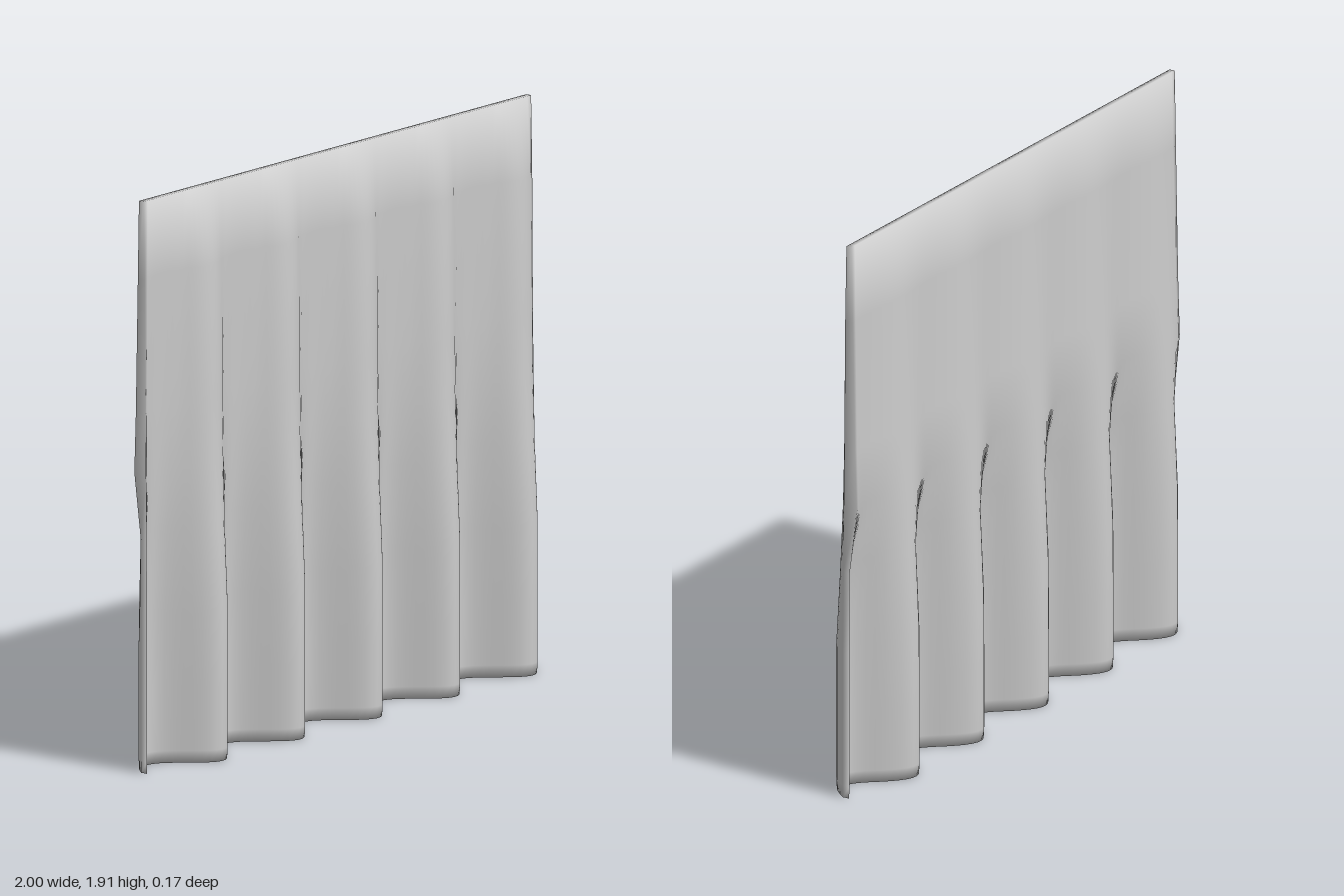
import * as THREE from 'three';

const COLUMNS = 100;
const PERIOD = 0.4;
const RIDGE_X = 0.105; // centre of one forward fold

// Cross-sections from hem to top: height, then z at ridge, middle and trough for front and back
const SECTIONS = [
  { y: 0.0, front: [0.085, 0.007, -0.066], back: [0.066, -0.017, -0.084] },
  { y: 0.04, front: [0.088, 0.008, -0.067], back: [0.067, -0.018, -0.087] },
  { y: 0.25, front: [0.088, 0.008, -0.067], back: [0.067, -0.018, -0.087] },
  { y: 0.5, front: [0.088, 0.008, -0.067], back: [0.067, -0.018, -0.085] },
  { y: 0.78, front: [0.069, 0.007, -0.05], back: [0.042, -0.017, -0.067] },
  { y: 1.0, front: [0.055, 0.006, -0.035], back: [-0.02, -0.041, -0.063] },
  { y: 1.2, front: [0.048, 0.004, -0.028], back: [-0.02, -0.034, -0.047] },
  { y: 1.65, front: [0.035, 0.002, -0.01], back: [-0.02, -0.025, -0.031] },
  { y: 1.91, front: [0, 0, 0], back: [-0.02, -0.02, -0.02] },
];

// Fold depth at x: a cosine running through ridge, middle and trough
function foldZ([ridge, middle, trough], x) {
  const c = Math.cos((2 * Math.PI * (x - RIDGE_X)) / PERIOD);
  return middle + c * (c > 0 ? ridge - middle : middle - trough);
}

function pleatedSheet() {
  const positions = [];
  const indices = [];
  const n = COLUMNS + 1;
  const ring = n * 2;
  const xAt = (i) => -1 + (2 * i) / COLUMNS;
  const quad = (a, b, c, d) => indices.push(a, b, c, a, c, d);

  // Each ring runs along the front left to right, then back along the rear
  for (const { y, front, back } of SECTIONS) {
    for (let i = 0; i < n; i++) positions.push(xAt(i), y, foldZ(front, xAt(i)));
    for (let i = n - 1; i >= 0; i--) positions.push(xAt(i), y, foldZ(back, xAt(i)));
  }

  // Front, back and side edges
  for (let r = 0; r < SECTIONS.length - 1; r++) {
    for (let i = 0; i < ring; i++) {
      const j = (i + 1) % ring;
      quad(r * ring + i, r * ring + j, (r + 1) * ring + j, (r + 1) * ring + i);
    }
  }

  // Hem and top edge
  const top = (SECTIONS.length - 1) * ring;
  for (let i = 0; i < COLUMNS; i++) {
    const f0 = i, f1 = i + 1, b0 = ring - 1 - i, b1 = ring - 2 - i;
    quad(b0, b1, f1, f0);
    quad(top + f0, top + f1, top + b1, top + b0);
  }

  const geometry = new THREE.BufferGeometry();
  geometry.setAttribute('position', new THREE.Float32BufferAttribute(positions, 3));
  geometry.setIndex(indices);
  geometry.computeVertexNormals();

  // Soften the border by leaning its normals outward
  const position = geometry.attributes.position;
  const normal = geometry.attributes.normal;
  const v = new THREE.Vector3();
  for (let i = 0; i < position.count; i++) {
    v.fromBufferAttribute(normal, i);
    if (i < ring) v.y -= 0.8;
    if (i >= top) v.y += 0.8;
    if (Math.abs(position.getX(i)) > 0.999) v.x += 0.7 * Math.sign(position.getX(i));
    v.normalize();
    normal.setXYZ(i, v.x, v.y, v.z);
  }
  return geometry;
}

export function createModel() {
  const group = new THREE.Group();
  group.name = 'curtain';
  const cloth = new THREE.Mesh(
    pleatedSheet(),
    new THREE.MeshStandardMaterial({ color: 0xcccccc })
  );
  cloth.name = 'pleatedCloth';
  group.add(cloth);
  return group;
}
